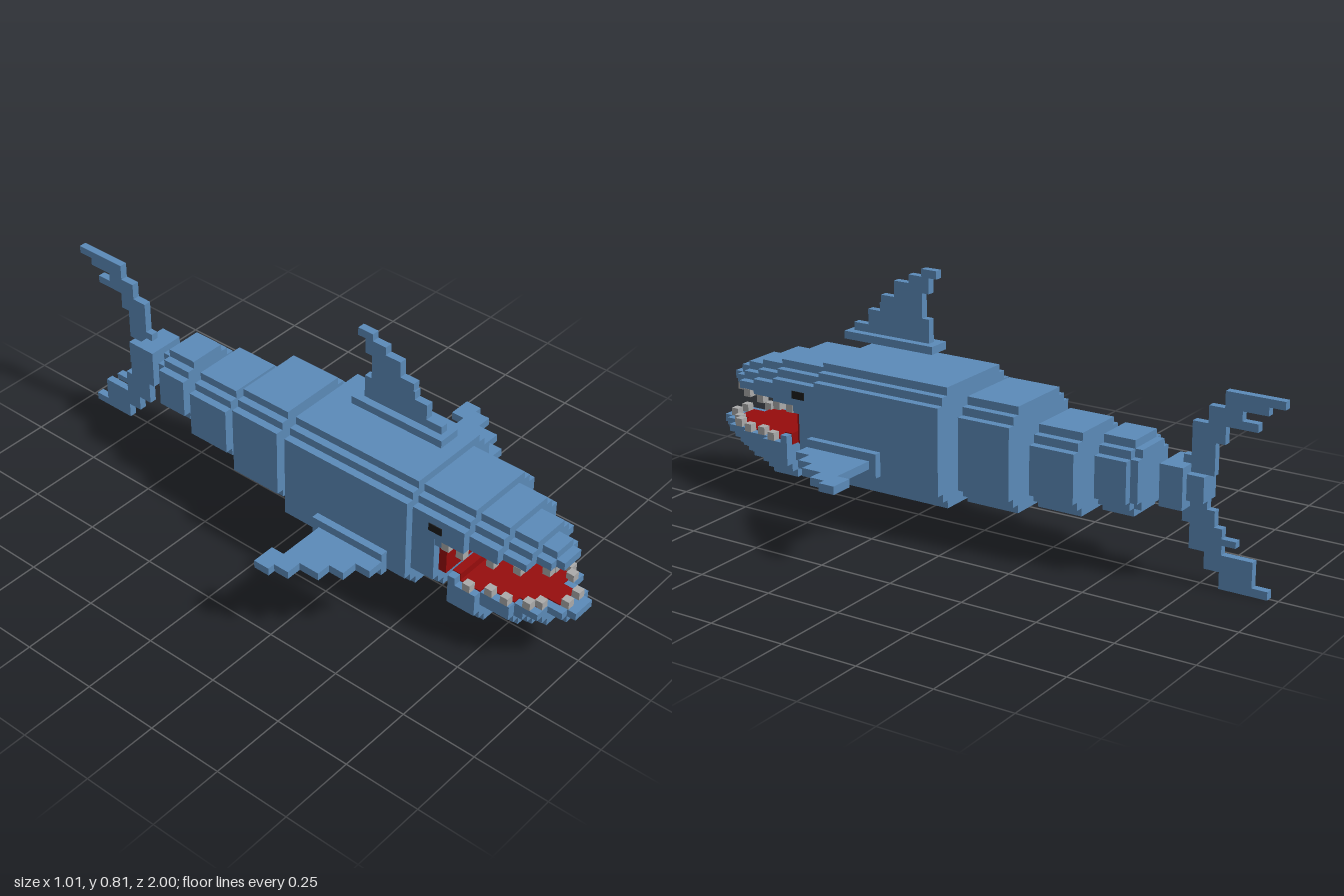
import * as THREE from 'three';

const U = 0.026; // one voxel
const mat = (color) => new THREE.MeshStandardMaterial({ color, flatShading: true });

export function createModel() {
  const model = new THREE.Group();
  const blue = mat(0x5b8ab8), red = mat(0x960c0c), grey = mat(0xaaaaaa), black = mat(0x1c1c1c);

  const group = (name) => {
    const g = new THREE.Group();
    g.name = name;
    model.add(g);
    return g;
  };
  const box = (parent, m, name, x0, x1, y0, y1, z0, z1) => {
    const mesh = new THREE.Mesh(new THREE.BoxGeometry(x1 - x0, y1 - y0, z1 - z0), m);
    mesh.position.set((x0 + x1) / 2, (y0 + y1) / 2, (z0 + z1) / 2);
    mesh.name = name;
    parent.add(mesh);
  };
  // Block with stepped corners: each layer is narrower and taller than the last
  const stepped = (parent, name, half, y0, y1, z0, z1, top = true, bottom = true, n = 3) => {
    for (let i = 0; i < n; i++) {
      const h = half - i * U, inset = (n - 1 - i) * U;
      box(parent, blue, name, -h, h, y0 + (bottom ? inset : 0), y1 - (top ? inset : 0), z0, z1);
    }
  };

  // Body and the separate shrinking segments behind it
  const body = group('body');
  stepped(body, 'torso', 0.195, 0.11, 0.495, 0.04, 0.505);
  stepped(body, 'rearSegment1', 0.168, 0.135, 0.47, -0.195, -0.015);
  stepped(body, 'rearSegment2', 0.142, 0.16, 0.42, -0.4, -0.25);
  stepped(body, 'rearSegment3', 0.115, 0.185, 0.42, -0.56, -0.455);
  stepped(body, 'rearSegment3End', 0.09, 0.21, 0.395, -0.585, -0.56, true, true, 2);

  // Head and upper jaw: [z0, z1, half width, top, layers]
  const head = group('head');
  stepped(head, 'headBack', 0.168, 0.135, 0.47, 0.505, 0.587);
  [
    [0.587, 0.69, 0.168, 0.47, 3],
    [0.69, 0.79, 0.142, 0.445, 3],
    [0.79, 0.87, 0.115, 0.42, 3],
    [0.87, 0.92, 0.065, 0.395, 2],
    [0.92, 0.948, 0.04, 0.37, 1],
  ].forEach(([z0, z1, h, t, n]) => stepped(head, 'upperJaw', h, 0.343, t, z0, z1, true, false, n));
  box(head, blue, 'jawHinge', -0.165, 0.165, 0.318, 0.345, 0.585, 0.612);

  // Lower jaw: [z0, z1, half width, bottom, layers]
  const jaw = group('lowerJaw');
  [
    [0.64, 0.738, 0.168, 0.083, 3],
    [0.738, 0.84, 0.142, 0.11, 3],
    [0.84, 0.87, 0.115, 0.11, 3],
    [0.87, 0.92, 0.115, 0.135, 3],
    [0.92, 0.97, 0.065, 0.16, 2],
    [0.97, 1.0, 0.04, 0.185, 1],
  ].forEach(([z0, z1, h, b, n]) => stepped(jaw, 'lowerJawBlock', h, b, 0.21, z0, z1, false, true, n));
  box(jaw, blue, 'lowerJawBack', -0.168, 0.168, 0.2, 0.235, 0.64, 0.665);

  // Red mouth lining
  const mouth = group('mouth');
  box(mouth, red, 'throat', -0.142, 0.142, 0.21, 0.342, 0.58, 0.614);
  [[0.665, 0.738, 0.142], [0.738, 0.84, 0.115], [0.84, 0.9, 0.09], [0.9, 0.945, 0.04]].forEach(([z0, z1, h]) =>
    box(mouth, red, 'mouthFloor', -h, h, 0.2, 0.214, z0, z1));
  box(mouth, red, 'mouthFloorBack', -0.142, 0.142, 0.2, 0.238, 0.638, 0.667);
  [[0.6, 0.69, 0.142], [0.69, 0.79, 0.115], [0.79, 0.86, 0.09], [0.86, 0.91, 0.04]].forEach(([z0, z1, h]) =>
    box(mouth, red, 'palate', -h, h, 0.339, 0.35, z0, z1));

  // Teeth and eyes on both sides: teeth are [x, z]
  const teeth = group('teeth');
  const eyes = group('eyes');
  const r = U / 2;
  for (const s of [1, -1]) {
    const tooth = (name, x, z, y) => box(teeth, grey, name, s * x - r, s * x + r, y, y + U, z - r, z + r);
    [[0.155, 0.625], [0.155, 0.677], [0.129, 0.765], [0.103, 0.84], [0.052, 0.905], [0.026, 0.907]].forEach(([x, z]) =>
      tooth('upperTooth', x, z, 0.318));
    [[0.155, 0.705], [0.129, 0.765], [0.129, 0.82], [0.103, 0.88], [0.077, 0.905], [0.026, 0.96]].forEach(([x, z]) =>
      tooth('lowerTooth', x, z, 0.21));
    box(eyes, black, 'eye', s * 0.161 - 0.01, s * 0.161 + 0.01, 0.367, 0.392, 0.565, 0.612);
  }

  // Thin upright fins: rows of [y0, y1, z0, z1]
  const finRows = (parent, name, rows) =>
    rows.forEach(([y0, y1, z0, z1]) => box(parent, blue, name, -0.0125, 0.0125, y0, y1, z0, z1));

  const dorsal = group('dorsalFin');
  box(dorsal, blue, 'dorsalFinBase', -0.038, 0.038, 0.549, 0.574, 0.167, 0.5);
  finRows(dorsal, 'dorsalFinRow', [
    [0.574, 0.6, 0.195, 0.48], [0.6, 0.65, 0.195, 0.425], [0.65, 0.677, 0.22, 0.38],
    [0.677, 0.703, 0.22, 0.375], [0.703, 0.755, 0.22, 0.325], [0.73, 0.782, 0.195, 0.27],
    [0.78, 0.806, 0.167, 0.222],
  ]);

  // Tail
  const tail = group('tail');
  box(tail, blue, 'tailBase', -0.063, 0.063, 0.235, 0.365, -0.715, -0.64);
  box(tail, blue, 'tailBaseRear', -0.038, 0.038, 0.26, 0.34, -0.77, -0.69);
  finRows(tail, 'tailFinRow', [
    [0.575, 0.6, -1.0, -0.815], [0.549, 0.575, -0.95, -0.815], [0.52, 0.549, -0.87, -0.765],
    [0.495, 0.52, -0.92, -0.765], [0.44, 0.495, -0.82, -0.715], [0.39, 0.44, -0.79, -0.715],
    [0.34, 0.39, -0.79, -0.69], [0.235, 0.34, -0.77, -0.69], [0.185, 0.235, -0.795, -0.69],
    [0.155, 0.185, -0.82, -0.715], [0.135, 0.155, -0.865, -0.715], [0.105, 0.135, -0.82, -0.715],
    [0.08, 0.105, -0.92, -0.765], [0.052, 0.08, -0.92, -0.765], [0.026, 0.052, -0.92, -0.815],
    [0, 0.026, -0.97, -0.815],
  ]);

  // Side fins, mirrored: columns of [x0, x1, z0, z1]
  for (const s of [1, -1]) {
    const fin = group(s > 0 ? 'leftFin' : 'rightFin');
    const part = (name, x0, x1, y0, y1, z0, z1) =>
      box(fin, blue, name, Math.min(s * x0, s * x1), Math.max(s * x0, s * x1), y0, y1, z0, z1);
    part('finBase', 0.247, 0.271, 0.21, 0.287, 0.215, 0.477);
    [
      [0.271, 0.325, 0.24, 0.477], [0.325, 0.38, 0.24, 0.425], [0.38, 0.428, 0.24, 0.372],
      [0.428, 0.48, 0.195, 0.302], [0.48, 0.505, 0.195, 0.25],
    ].forEach(([x0, x1, z0, z1]) => part('finColumn', x0, x1, 0.235, 0.261, z0, z1));
  }

  return model;
}
